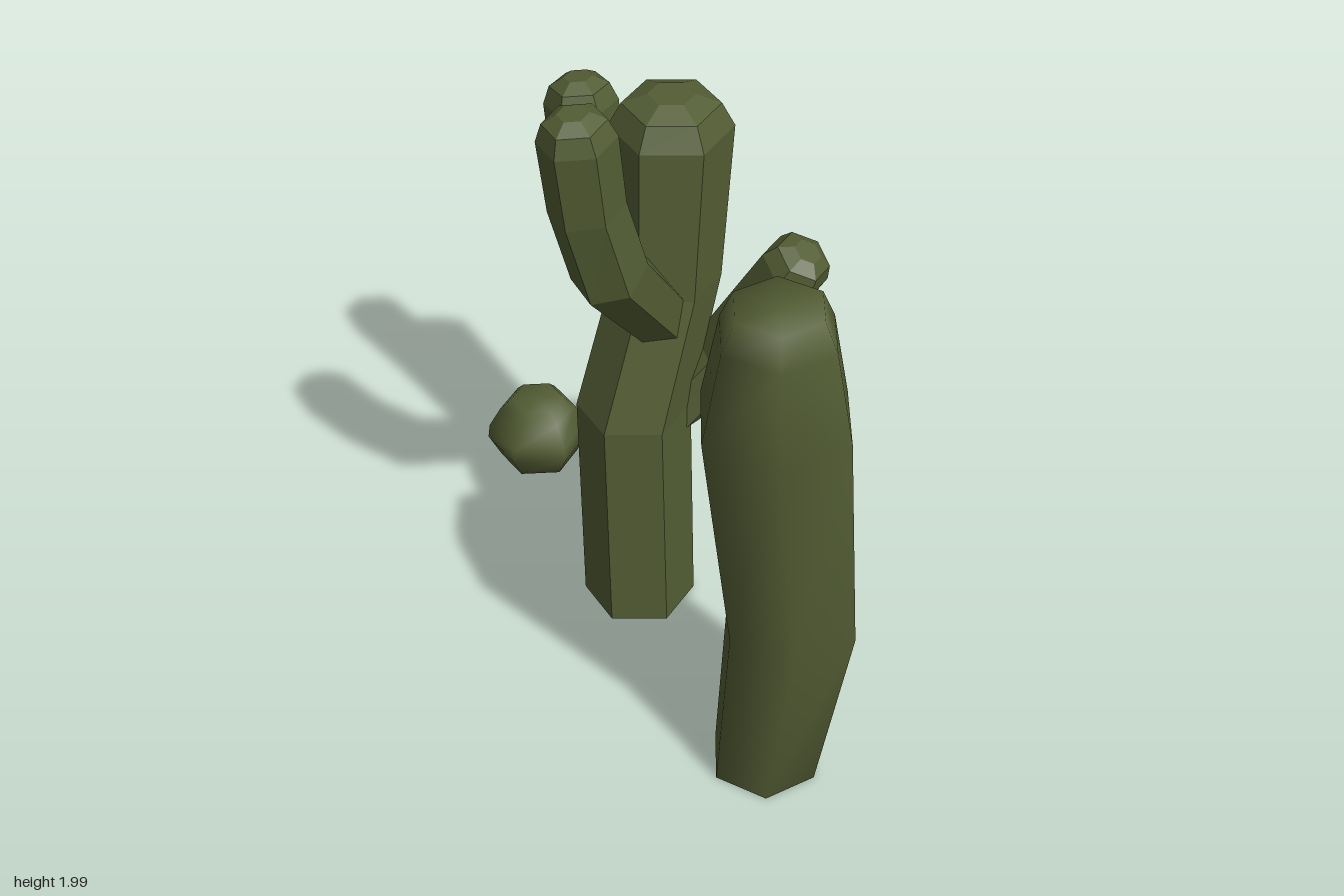
import * as THREE from 'three';

const SIDES = 6;
const UP = new THREE.Vector3(0, 1, 0);

// Closed six-sided body through rings [x, y, z, radius]; tilted rings follow the path.
function loft(rings, phaseDeg, { smooth = false, tilt = true } = {}) {
  const centres = rings.map(([x, y, z]) => new THREE.Vector3(x, y, z));
  const phase = THREE.MathUtils.degToRad(phaseDeg);
  const n = rings.length;
  const pos = [];
  const index = [];
  centres.forEach((c, i) => {
    const dir = new THREE.Vector3();
    if (i > 0) dir.add(c.clone().sub(centres[i - 1]).normalize());
    if (i < n - 1) dir.add(centres[i + 1].clone().sub(c).normalize());
    const q = new THREE.Quaternion();
    if (tilt) q.setFromUnitVectors(UP, dir.normalize());
    for (let j = 0; j < SIDES; j++) {
      const a = phase + (j / SIDES) * Math.PI * 2;
      const p = new THREE.Vector3(Math.cos(a), 0, Math.sin(a));
      p.multiplyScalar(rings[i][3]).applyQuaternion(q).add(c);
      pos.push(p.x, p.y, p.z);
    }
  });
  // End centres
  pos.push(...centres[0].toArray(), ...centres[n - 1].toArray());
  const bottom = n * SIDES;
  const top = bottom + 1;
  for (let j = 0; j < SIDES; j++) {
    const k = (j + 1) % SIDES;
    for (let i = 0; i < n - 1; i++) {
      const a = i * SIDES + j, b = i * SIDES + k;
      index.push(a, a + SIDES, b, b, a + SIDES, b + SIDES);
    }
    const last = (n - 1) * SIDES;
    index.push(bottom, j, k, top, last + k, last + j);
  }
  let geo = new THREE.BufferGeometry();
  geo.setAttribute('position', new THREE.Float32BufferAttribute(pos, 3));
  geo.setIndex(index);
  if (!smooth) geo = geo.toNonIndexed();
  geo.computeVertexNormals();
  return geo;
}

// Adds a faceted dome to the end of an arm, along its last direction.
function withTip(rings) {
  const [x, y, z, r] = rings[rings.length - 1];
  const [px, py, pz] = rings[rings.length - 2];
  const d = new THREE.Vector3(x - px, y - py, z - pz).normalize();
  const ring = (h, s) => [x + d.x * h * r, y + d.y * h * r, z + d.z * h * r, r * s];
  return [...rings, ring(0.5, 0.8), ring(0.74, 0.4)];
}

export function createModel() {
  const group = new THREE.Group();
  group.name = 'cactusGroup';
  const green = new THREE.MeshStandardMaterial({ color: 0x535d34 });
  green.name = 'cactusGreen';

  const add = (name, geo, parent) => {
    const mesh = new THREE.Mesh(geo, green);
    mesh.name = name;
    parent.add(mesh);
  };

  // Branching cactus, flat facets
  const branching = new THREE.Group();
  branching.name = 'branchingCactus';
  group.add(branching);
  add('trunk', loft([
    [-0.075, 0, -0.07, 0.175],
    [-0.08, 0.75, -0.09, 0.175],
    [0.05, 1.18, -0.12, 0.163],
    [0.08, 1.68, -0.15, 0.184],
    [0.08, 1.755, -0.15, 0.145],
    [0.08, 1.785, -0.15, 0.07],
  ], 27, { tilt: false }), branching);

  const arms = {
    rightArm: [
      [0.0, 1.08, -0.06, 0.1],
      [-0.24, 1.42, 0.09, 0.115],
      [-0.31, 1.67, 0.1, 0.112],
      [-0.335, 1.9, 0.1, 0.114],
    ],
    leftArm: [
      [0.06, 0.7, -0.09, 0.1],
      [0.205, 0.9, -0.035, 0.105],
      [0.325, 1.3, 0.165, 0.107],
    ],
    backArm: [
      [0.0, 1.05, -0.16, 0.09],
      [-0.04, 1.31, -0.45, 0.112],
      [-0.05, 1.61, -0.485, 0.113],
    ],
  };
  for (const [name, path] of Object.entries(arms)) {
    add(name, loft(withTip(path), 28), branching);
  }

  // Leaning column, smooth
  add('columnCactus', loft([
    [-0.075, 0, 0.767, 0.168],
    [-0.015, 0.58, 0.79, 0.206],
    [-0.095, 1.35, 0.8, 0.23],
    [-0.095, 1.63, 0.8, 0.175],
    [-0.095, 1.72, 0.8, 0.135],
  ], -3, { smooth: true, tilt: false }), group);

  // Small round cactus, smooth
  add('roundCactus', loft([
    [0, 0.13], [0.08, 0.172], [0.13, 0.166], [0.2, 0.127], [0.24, 0.088],
  ].map(([y, r]) => [-0.083, y, -0.83, r]), 23, { smooth: true, tilt: false }), group);

  return group;
}
